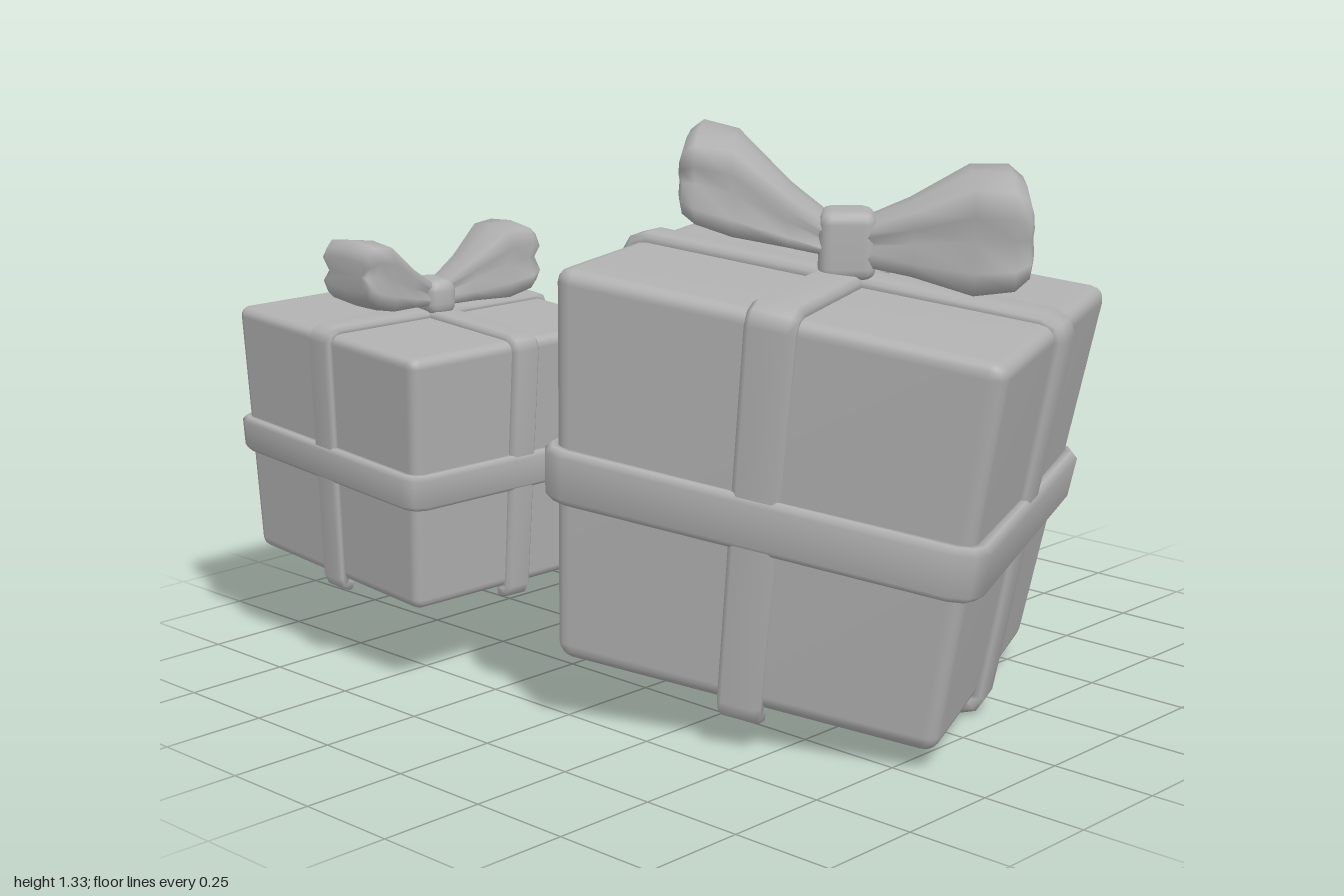
import * as THREE from 'three';
import { mergeVertices } from 'three/addons/utils/BufferGeometryUtils.js';
import { RoundedBoxGeometry } from 'three/addons/geometries/RoundedBoxGeometry.js';

const grey = new THREE.MeshStandardMaterial({ color: 0xb0b0b0 });
grey.name = 'plainGrey';

function addMesh(group, name, geometry) {
  const mesh = new THREE.Mesh(geometry, grey);
  mesh.name = name;
  group.add(mesh);
  return mesh;
}

// Skin a row of matching rings; capped at both ends unless closed into a loop
function skin(rings, closed = false) {
  const n = rings[0].length, m = rings.length, index = [];
  for (let i = 0; i < (closed ? m : m - 1); i++) {
    for (let j = 0; j < n; j++) {
      const k = (j + 1) % n, p = i * n, q = ((i + 1) % m) * n;
      index.push(p + j, p + k, q + k, p + j, q + k, q + j);
    }
  }
  if (!closed) {
    const e = (m - 1) * n;
    for (let j = 1; j < n - 1; j++) index.push(0, j + 1, j, e, e + j, e + j + 1);
  }
  const g = new THREE.BufferGeometry();
  g.setAttribute('position', new THREE.Float32BufferAttribute(rings.flat(2), 3));
  g.setIndex(index);
  return g;
}

// Bend a unit cube (-0.5..0.5) into the leaning, tapered box given by its corners
function warp(geometry, { bottom, top }) {
  const pos = geometry.attributes.position;
  const face = (c, u, w, k) =>
    (c[0][k] * (1 - u) + c[1][k] * u) * w + (c[3][k] * (1 - u) + c[2][k] * u) * (1 - w);
  for (let i = 0; i < pos.count; i++) {
    const u = pos.getX(i) + 0.5, v = pos.getY(i) + 0.5, w = pos.getZ(i) + 0.5;
    const p = [0, 1, 2].map(k => face(bottom, u, w, k) * (1 - v) + face(top, u, w, k) * v);
    pos.setXYZ(i, ...p);
  }
  geometry.computeVertexNormals();
  return geometry;
}

function softBox(w, h, d, r) {
  const g = new RoundedBoxGeometry(w, h, d, 2, r);
  g.deleteAttribute('normal');
  g.deleteAttribute('uv');
  const merged = mergeVertices(g, 1e-5);
  merged.computeVertexNormals();
  return merged;
}

// Sweep a flat, round-edged ribbon along a clockwise path in a plane
function ribbon(path, half, thick, place, closed = false) {
  const profile = [[-half, -0.015], [-half, thick * 0.5], [-half * 0.75, thick],
    [half * 0.75, thick], [half, thick * 0.5], [half, -0.015]];
  const m = path.length;
  const rings = path.map(([a, b], i) => {
    const prev = path[closed ? (i + m - 1) % m : Math.max(i - 1, 0)];
    const next = path[closed ? (i + 1) % m : Math.min(i + 1, m - 1)];
    const unit = (p, q) => {
      const l = Math.hypot(q[0] - p[0], q[1] - p[1]) || 1;
      return [(q[0] - p[0]) / l, (q[1] - p[1]) / l];
    };
    const t0 = unit(prev, path[i]), t1 = unit(path[i], next);
    const tx = t0[0] + t1[0], ty = t0[1] + t1[1], l = Math.hypot(tx, ty);
    return profile.map(([w, o]) => place(a - ty / l * o, b + tx / l * o, w));
  });
  return skin(rings, closed);
}

// One bow loop: a puffed wedge, pinched at the knot and creased along its sides
function bowLoop([x, y, z], angle, { length, half, height, rise, roll }) {
  const section = [[0.75, 0], [1, 0.5], [0.82, 0.95], [0, 1.05], [-0.82, 0.95], [-1, 0.5],
    [-0.75, 0], [-1, -0.5], [-0.82, -0.95], [0, -1.05], [0.82, -0.95], [1, -0.5]];
  // distance, width, height, lift
  const steps = [[0, 0.33, 0.28, 0], [0.35, 0.55, 0.6, 0.4], [0.68, 0.88, 1, 0.85],
    [0.9, 1, 0.92, 1], [0.98, 0.92, 0.7, 1], [1, 0.75, 0.45, 1]];
  const dx = Math.cos(angle), dz = Math.sin(angle);
  const rings = steps.map(([t, w, h, f]) => section.map(([a, b]) => {
    const s = a * w * half, s2 = t * length;
    return [x + dx * s2 + dz * s, y + rise * f + b * h * height + roll * s, z + dz * s2 - dx * s];
  }));
  const g = skin(rings);
  g.computeVertexNormals();
  return g;
}

function gift(name, corners, bow) {
  const group = new THREE.Group();
  group.name = name;
  addMesh(group, 'box', warp(softBox(1, 1, 1, 0.04), corners));

  // Two ribbons over the top, their ends tucked just under the box
  const over = [[-0.46, -0.525], [-0.49, -0.515], [-0.5, -0.49], [-0.5, 0], [-0.5, 0.46],
    [-0.488, 0.488], [-0.46, 0.5]];
  const arch = [...over, [0, 0.5], ...over.map(([a, b]) => [-a, b]).reverse()];
  addMesh(group, 'ribbonFrontToBack',
    warp(ribbon(arch, 0.057, 0.025, (a, b, w) => [-w, b, a]), corners));
  addMesh(group, 'ribbonSideToSide',
    warp(ribbon(arch, 0.057, 0.025, (a, b, w) => [a, b, w]), corners));

  // Band around the middle
  const quarter = [[-0.5, 0.46], [-0.488, 0.488], [-0.46, 0.5]];
  const ring = [];
  for (let i = 0, c = quarter; i < 4; i++, c = c.map(([a, b]) => [b, -a])) ring.push(...c);
  addMesh(group, 'middleBand',
    warp(ribbon(ring, 0.07, 0.036, (a, b, w) => [a, -w - 0.02, b], true), corners));

  // Bow
  const knot = addMesh(group, 'bowKnot', softBox(...bow.knotSize, 0.03));
  knot.position.set(...bow.at);
  knot.rotation.y = -bow.angles[1];
  bow.loops.forEach((l, i) =>
    addMesh(group, i ? 'leftBowLoop' : 'rightBowLoop', bowLoop(bow.at, bow.angles[i], l)));
  return group;
}

export function createModel() {
  const model = new THREE.Group();
  model.name = 'giftBoxes';

  // Corners run front right, front left, back left, back right (model's own sides)
  model.add(gift('largeGift', {
    bottom: [[-0.22, 0.04, 0.84], [0.56, 0.04, 0.49], [0.22, 0.15, -0.3], [-0.57, 0.165, 0.03]],
    top: [[-0.22, 0.92, 1.01], [0.69, 0.92, 0.63], [0.29, 1.05, -0.28], [-0.58, 1.06, 0.05]],
  }, {
    at: [0.04, 1.07, 0.36],
    knotSize: [0.13, 0.16, 0.14],
    angles: [Math.PI + 0.9, 0.86],
    loops: [
      { length: 0.37, half: 0.15, height: 0.1, rise: 0.16, roll: -0.12 },
      { length: 0.41, half: 0.17, height: 0.125, rise: 0.04, roll: 0.1 },
    ],
  }));

  model.add(gift('smallGift', {
    bottom: [[-0.64, 0.2, -0.36], [-0.04, 0.2, -0.34], [-0.02, 0.24, -0.98], [-0.63, 0.24, -0.97]],
    top: [[-0.675, 0.81, -0.31], [-0.01, 0.81, -0.29], [0.01, 0.85, -0.98], [-0.665, 0.85, -0.98]],
  }, {
    at: [-0.335, 0.875, -0.635],
    knotSize: [0.08, 0.09, 0.12],
    angles: [Math.PI + 0.08, 0.18],
    loops: [
      { length: 0.25, half: 0.11, height: 0.08, rise: 0.08, roll: 0 },
      { length: 0.25, half: 0.11, height: 0.085, rise: 0.08, roll: 0 },
    ],
  }));
  return model;
}
